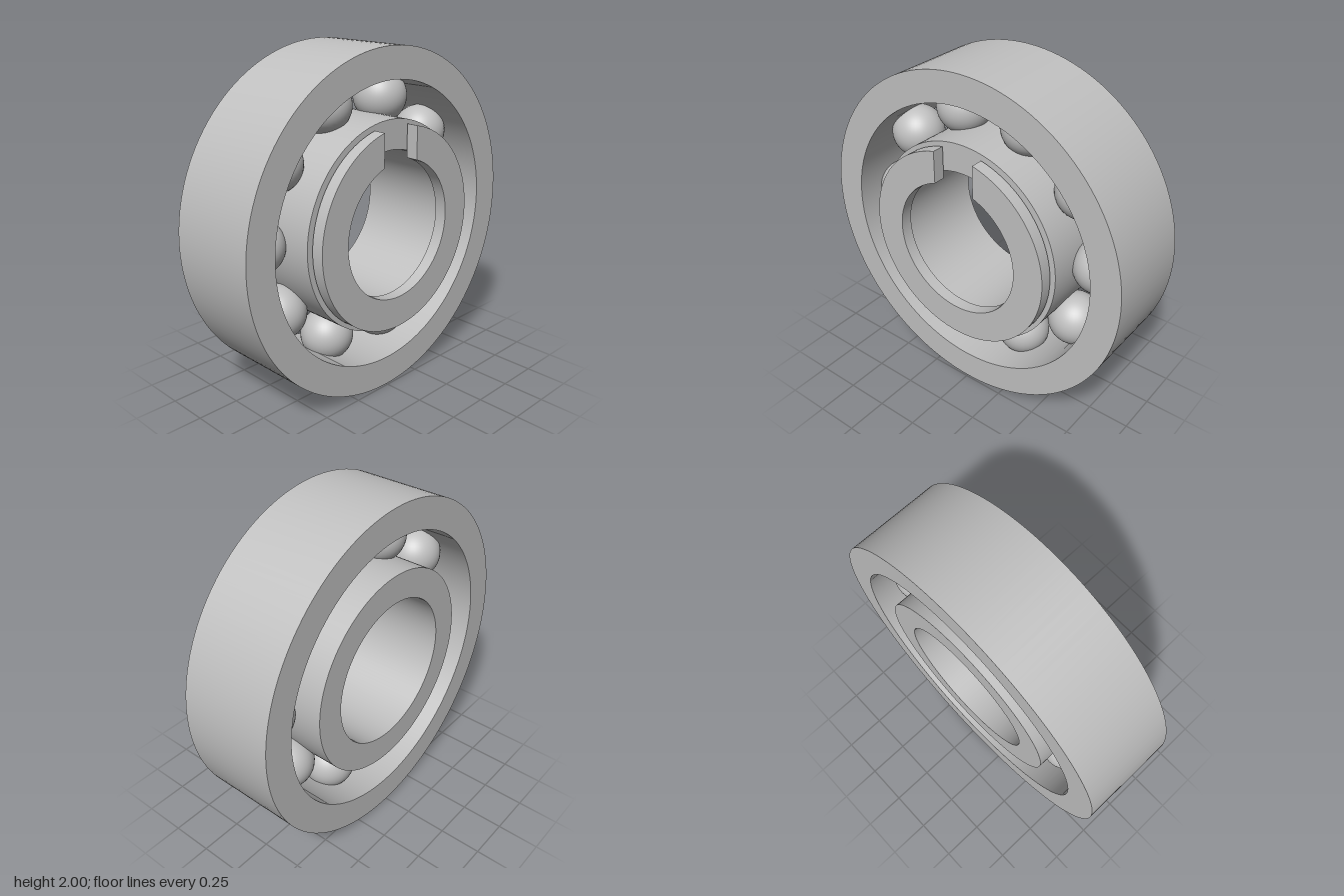
import * as THREE from 'three';
import { toCreasedNormals } from 'three/addons/utils/BufferGeometryUtils.js';

const CENTRE_Y = 1;
const X0 = -0.325, X1 = 0.24;        // faces of the bearing
const MID_X = (X0 + X1) / 2;

// Extrude a flat outline along x, smooth round the curves and sharp at the rims
function extrudeAlongX(shape, x0, x1) {
  const geo = new THREE.ExtrudeGeometry(shape, {
    depth: x1 - x0, bevelEnabled: false, curveSegments: 64,
  });
  geo.rotateY(Math.PI / 2);
  geo.translate(x0, CENTRE_Y, 0);
  return toCreasedNormals(geo, Math.PI / 6);
}

function annulus(outer, inner) {
  const shape = new THREE.Shape();
  shape.absarc(0, 0, outer, 0, Math.PI * 2, false);
  const hole = new THREE.Path();
  hole.absarc(0, 0, inner, 0, Math.PI * 2, true);
  shape.holes.push(hole);
  return shape;
}

// Ring with a parallel-sided gap at the top
function slottedRing(outer, inner, halfGap) {
  const a = Math.asin(halfGap / outer), b = Math.asin(halfGap / inner);
  const top = Math.PI / 2;
  const shape = new THREE.Shape();
  shape.absarc(0, 0, outer, top + a, top + Math.PI * 2 - a, false);
  shape.absarc(0, 0, inner, top + Math.PI * 2 - b, top + b, true);
  shape.closePath();
  return shape;
}

export function createModel() {
  const group = new THREE.Group();
  group.name = 'ballBearing';
  const steel = new THREE.MeshStandardMaterial({ color: 0xc0c0c0 });
  steel.name = 'steel';

  const add = (name, geo) => {
    const mesh = new THREE.Mesh(geo, steel);
    mesh.name = name;
    group.add(mesh);
    return mesh;
  };

  // Races
  add('outerRing', extrudeAlongX(annulus(1, 0.82), X0, X1));
  add('innerRing', extrudeAlongX(annulus(0.61, 0.44), X0, X1));

  // Retaining ring standing just off the inner race
  add('retainingRing', extrudeAlongX(slottedRing(0.585, 0.4, 0.13), 0.252, 0.325));

  // Ten balls between the races
  const ballGeo = new THREE.SphereGeometry(0.157, 40, 28);
  for (let i = 0; i < 10; i++) {
    const a = (i / 10) * Math.PI * 2;
    add('ball' + (i + 1), ballGeo)
      .position.set(MID_X, CENTRE_Y + 0.715 * Math.sin(a), 0.715 * Math.cos(a));
  }
  return group;
}
